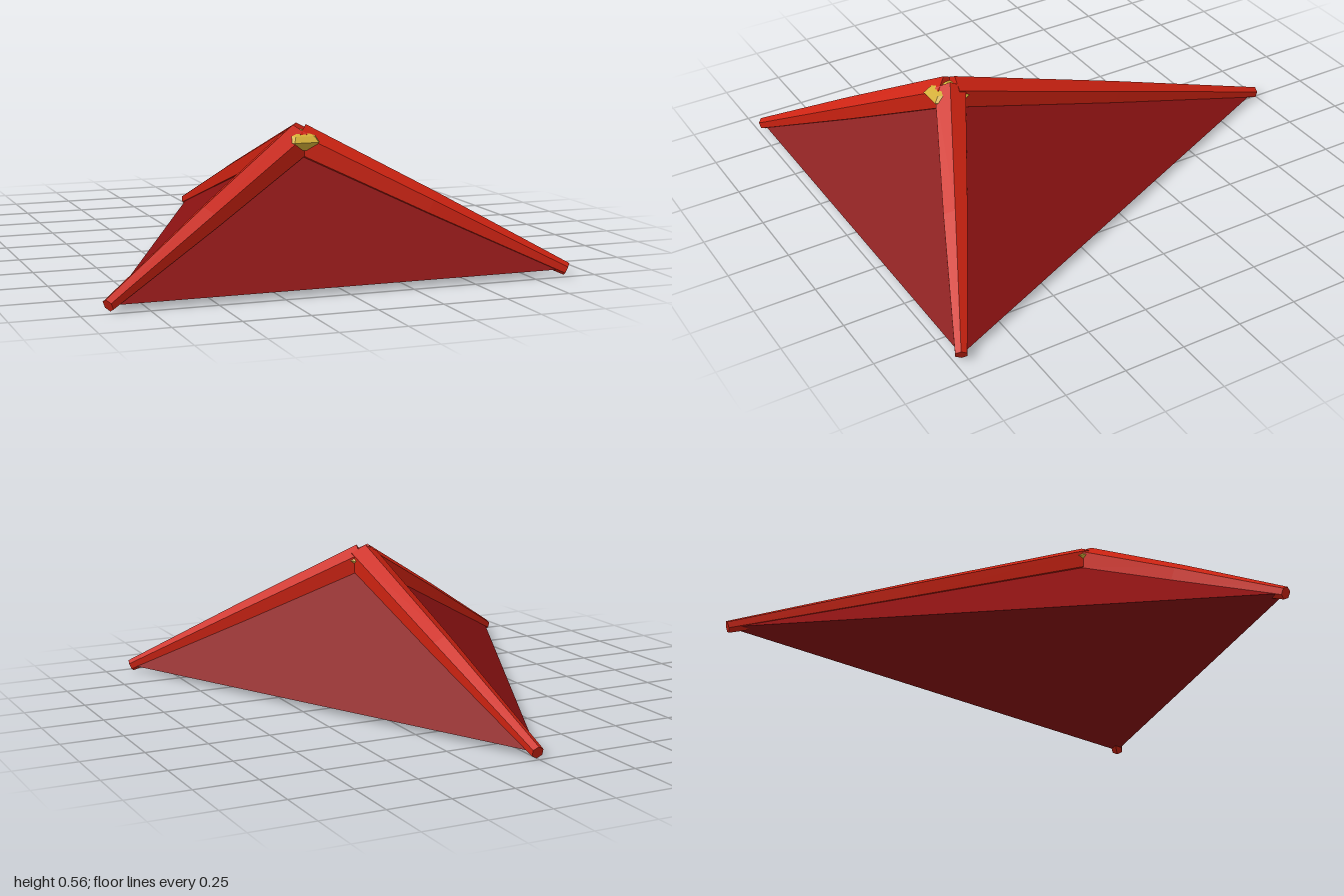
import * as THREE from 'three';

const flat = (color) => new THREE.MeshStandardMaterial({ color, flatShading: true });

export function createModel() {
  const group = new THREE.Group();
  const armMat = flat(0xcc2211);
  const bodyMat = flat(0x881111);
  const goldMat = flat(0xd4af37);

  const hub = new THREE.Vector3(-0.018, 0.502, 0.508);
  const tips = {
    left: new THREE.Vector3(0.895, 0.029, 0.972),
    right: new THREE.Vector3(-0.895, 0.029, 0.972),
    back: new THREE.Vector3(0, 0.029, -0.988),
  };

  // Low tetrahedral shell stretched between the arms
  const { left, right, back } = tips;
  const faces = [
    [hub, right, left],
    [hub, left, back],
    [hub, back, right],
    [left, right, back],
  ];
  const bodyGeo = new THREE.BufferGeometry().setFromPoints(faces.flat());
  bodyGeo.computeVertexNormals();
  const body = new THREE.Mesh(bodyGeo, bodyMat);
  body.name = 'body';
  group.add(body);

  // Tapered six-sided arms, each with one ridge facing up
  for (const [side, tip] of Object.entries(tips)) {
    const dir = tip.clone().sub(hub);
    const len = dir.length();
    dir.normalize();
    const up = new THREE.Vector3(0, 1, 0).addScaledVector(dir, -dir.y).normalize();
    const across = dir.clone().cross(up);
    const profile = [[0, 0], [0.07, 0], [0.052, len / 2], [0.025, len], [0, len]]
      .map(([r, y]) => new THREE.Vector2(r, y));
    const arm = new THREE.Mesh(new THREE.LatheGeometry(profile, 6), armMat);
    arm.quaternion.setFromRotationMatrix(new THREE.Matrix4().makeBasis(across, dir, up));
    arm.position.copy(hub);
    arm.name = side + 'Arm';
    group.add(arm);
  }

  // Faceted gold stone showing between the arms
  const stoneProfile = [[0, -0.05], [0.07, -0.032], [0.097, 0], [0.075, 0.022], [0, 0.045]]
    .map(([r, y]) => new THREE.Vector2(r, y));
  const stone = new THREE.Mesh(
    new THREE.LatheGeometry(stoneProfile, 6, Math.PI / 6), goldMat);
  stone.position.set(hub.x, 0.505, 0.518);
  stone.name = 'centreStone';
  group.add(stone);

  return group;
}
